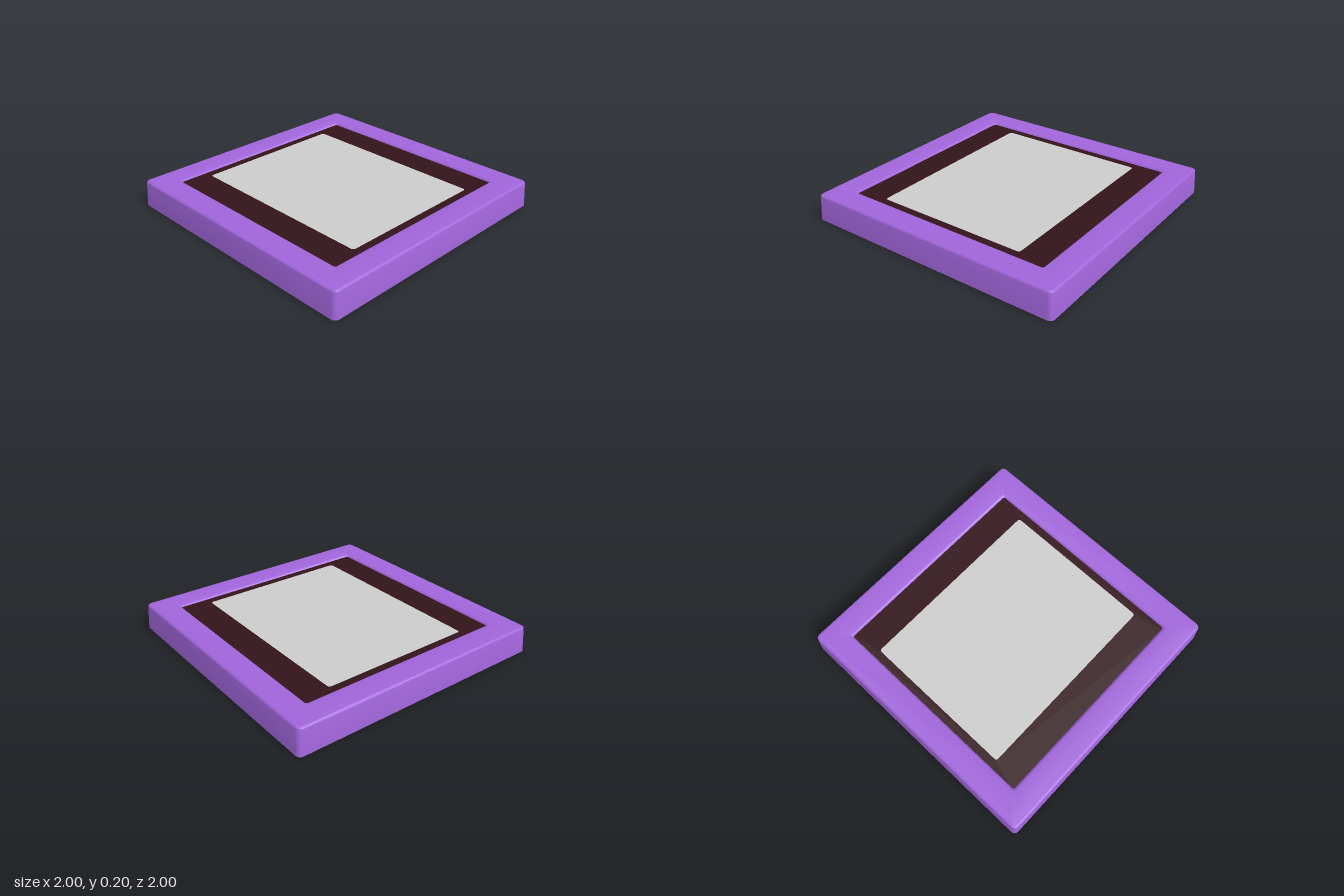
import * as THREE from 'three';
import { toCreasedNormals } from 'three/addons/utils/BufferGeometryUtils.js';

const material = (color) => new THREE.MeshStandardMaterial({ color, side: THREE.DoubleSide });

// Points around a rounded rectangle with half sizes w, h and corner radius r
function roundedRect(w, h, r, steps = 5) {
  const points = [];
  [[1, 1], [-1, 1], [-1, -1], [1, -1]].forEach(([sx, sy], corner) => {
    for (let i = 0; i <= steps; i++) {
      const a = (corner + i / steps) * Math.PI / 2;
      points.push(new THREE.Vector2(sx * (w - r) + r * Math.cos(a), sy * (h - r) + r * Math.sin(a)));
    }
  });
  return points;
}

// Skin joining square rings, each given as [half size, height, corner radius]
function ringSkin(rings) {
  const positions = [], index = [];
  const n = roundedRect(1, 1, 0.1).length;
  rings.forEach(([half, y, r], i) => {
    roundedRect(half, half, r).forEach((p, j) => {
      positions.push(p.x, y, p.y);
      if (i === rings.length - 1) return;
      const a = i * n + j, b = i * n + (j + 1) % n;
      index.push(a, a + n, b, b, a + n, b + n);
    });
  });
  const geometry = new THREE.BufferGeometry();
  geometry.setAttribute('position', new THREE.Float32BufferAttribute(positions, 3));
  geometry.setIndex(index);
  return toCreasedNormals(geometry, 0.6);
}

export function createModel() {
  const group = new THREE.Group();
  const purple = material(0xa065da), dark = material(0x331419), grey = material(0xcccccc);
  const add = (name, geometry, mat, parent = group) => {
    const mesh = new THREE.Mesh(geometry, mat);
    mesh.name = name;
    parent.add(mesh);
    return mesh;
  };

  // Hollow frame: tapered walls, softened top edge and bevelled opening
  add('frame', ringSkin([
    [1, 0.005, 0.035], [0.99, 0.185, 0.035], [0.987, 0.194, 0.033], [0.981, 0.199, 0.03], [0.972, 0.2, 0.025],
    [0.815, 0.2, 0.015], [0.809, 0.198, 0.015], [0.802, 0.193, 0.015], [0.797, 0.185, 0.015],
  ]), purple);

  // Dark border set into the opening, cut out around the centre panel
  const border = new THREE.Shape(roundedRect(0.797, 0.797, 0.015));
  border.holes.push(new THREE.Path(roundedRect(0.58, 0.737, 0.02)));
  const borderGeometry = new THREE.ShapeGeometry(border).rotateX(-Math.PI / 2).translate(0, 0.186, 0);
  add('border', borderGeometry, dark);

  // Flat centre panel
  const panel = new THREE.ShapeGeometry(new THREE.Shape(roundedRect(0.58, 0.737, 0.02)));
  add('centrePanel', panel.rotateX(-Math.PI / 2).translate(0, 0.186, 0), grey);

  // Dark lining on the inside of the four walls, leaning with their taper
  const lining = new THREE.Group();
  lining.name = 'wallLining';
  group.add(lining);
  for (let i = 0; i < 4; i++) {
    const plate = new THREE.PlaneGeometry(1.92, 0.192)
      .rotateX(-0.055).translate(0, 0.096, 0.99).rotateY(i * Math.PI / 2);
    add('liningPlate', plate, dark, lining);
  }
  return group;
}
